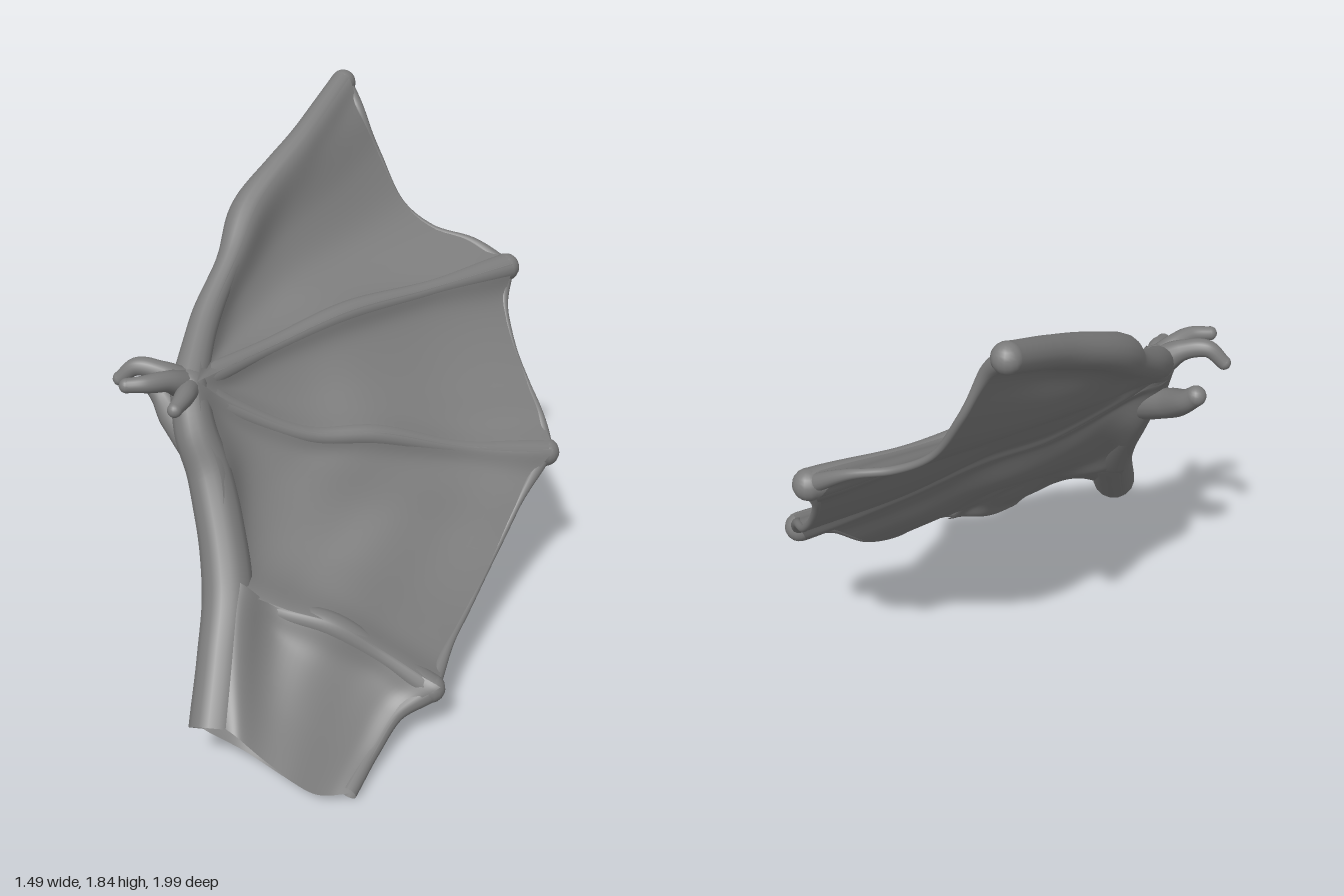
import * as THREE from 'three';

const V = (p) => new THREE.Vector3(...p);
const curve = (pts) => new THREE.CatmullRomCurve3(pts.map(V), false, 'centripetal');
const mat = new THREE.MeshStandardMaterial({ color: 0x7c7c7c, side: THREE.DoubleSide });
const NORMAL = new THREE.Vector3(1, 1, 1).normalize();
const SKIN = 0.012;

// A bone is a curve with a radius that follows evenly spaced values
function bone(pts, radii) {
  const radius = (t) => {
    const f = t * (radii.length - 1), i = Math.min(Math.floor(f), radii.length - 2);
    return THREE.MathUtils.lerp(radii[i], radii[i + 1], THREE.MathUtils.smoothstep(f - i, 0, 1));
  };
  return { curve: curve(pts), radius };
}

// Joints
const wrist = [-0.49, 1.13, 0.27], elbow = [-0.31, 0.56, 0.58], shoulder = [-0.295, 0.213, 0.895];
const tip1 = [-0.165, 1.79, -0.955], tip2 = [0.487, 1.172, -0.748];
const tip3 = [0.69, 0.66, -0.275], tip4 = [0.375, 0.21, 0.575], corner = [0.148, 0.03, 0.925];

// Bones
const upperArm = [wrist, [-0.455, 1.0, 0.34], [-0.4, 0.86, 0.39], elbow];
const lowerArm = [elbow, [-0.3, 0.38, 0.74], shoulder];
const spurPath = [elbow, [-0.16, 0.48, 0.58], [0.03, 0.43, 0.57], [0.2, 0.32, 0.56], tip4];
const arm = bone([...upperArm, ...lowerArm.slice(1)], [0.065, 0.075, 0.08, 0.086, 0.083, 0.086]);
const finger1 = bone(
  [wrist, [-0.485, 1.26, 0.02], [-0.44, 1.39, -0.2], [-0.405, 1.51, -0.37], [-0.27, 1.66, -0.66], tip1],
  [0.06, 0.052, 0.046, 0.064, 0.056, 0.05, 0.047]);
const finger2 = bone(
  [wrist, [-0.28, 1.14, -0.02], [-0.05, 1.17, -0.27], [0.2, 1.165, -0.5], tip2], [0.045, 0.034, 0.042, 0.034, 0.052]);
const finger3 = bone(
  [wrist, [-0.35, 1.02, 0.21], [-0.12, 0.89, 0.12], [0.1, 0.845, 0.01], [0.38, 0.735, -0.13], tip3],
  [0.045, 0.034, 0.042, 0.034, 0.052]);
const spur = bone(spurPath, [0.06, 0.042, 0.048, 0.038, 0.05]);
const armToSpur = bone([...upperArm, ...spurPath.slice(1)], [0.065, 0.08, 0.075, 0.045, 0.05]);

// Bones running the other way, and the open lip, around the root panel
const spurInward = bone([...spurPath].reverse(), [0.05, 0.038, 0.048, 0.042, 0.06]);
const lowerArmBone = bone(lowerArm, [0.086, 0.083, 0.086]);
const rootLip = bone([corner, [0.06, 0.055, 0.975], [-0.05, 0.125, 0.98], [-0.19, 0.195, 0.945], shoulder], [SKIN, SKIN]);

// Trailing edges
const rim = [0.03, 0.014, 0.012, 0.014, 0.03];
const edges = [
  [tip1, [-0.1, 1.71, -0.9], [-0.02, 1.54, -0.88], [0.08, 1.37, -0.83], [0.2, 1.29, -0.8], [0.35, 1.25, -0.79], tip2],
  [tip2, [0.49, 1.06, -0.68], [0.535, 0.93, -0.59], [0.6, 0.82, -0.5], [0.66, 0.75, -0.38], tip3],
  [tip3, [0.62, 0.56, -0.13], [0.54, 0.41, 0.03], [0.47, 0.31, 0.22], [0.41, 0.255, 0.42], tip4],
  [tip4, [0.265, 0.15, 0.655], [0.205, 0.085, 0.77], corner],
].map((pts, i) => bone(pts, i === 3 ? [0.045, 0.03, 0.028, 0.03] : rim));

// Tapered tube along a bone, with rounded ends where asked
function limb(name, { curve: c, radius }, caps = [false, true]) {
  const n = 48, sides = 16;
  const geo = new THREE.TubeGeometry(c, n, 1, sides, false);
  const pos = geo.attributes.position, p = new THREE.Vector3();
  for (let i = 0; i <= n; i++) {
    const o = c.getPointAt(i / n);
    for (let j = 0; j <= sides; j++) {
      const k = i * (sides + 1) + j;
      p.fromBufferAttribute(pos, k).sub(o).multiplyScalar(radius(i / n)).add(o);
      pos.setXYZ(k, p.x, p.y, p.z);
    }
  }
  const group = new THREE.Group();
  group.name = name;
  group.add(new THREE.Mesh(geo, mat));
  caps.forEach((on, e) => {
    if (!on) return;
    const ball = new THREE.Mesh(new THREE.SphereGeometry(radius(e), 16, 12), mat);
    ball.position.copy(c.getPointAt(e));
    group.add(ball);
  });
  group.children.forEach((m) => { m.name = name; });
  return group;
}

// One face of the skin between two bones; it swells softly over each bone and sags between.
// It ends on an edge, and begins on a third bone or where the first two meet.
function skin(name, a, b, edge, sag, side, start) {
  const nu = 40, nv = 40, pos = [], idx = [];
  const ends = [0, 1].map((t) => [a.curve.getPoint(t), b.curve.getPoint(t)]);
  const bend = (line, v, [p, q]) => line.curve.getPointAt(v).sub(p.clone().lerp(q, v));
  const swell = (d, r) => Math.max(r - SKIN, 0) * Math.exp(-((d / (1.4 * r)) ** 2));
  for (let i = 0; i <= nu; i++) {
    const u = i / nu, pa = a.curve.getPointAt(u), pb = b.curve.getPointAt(u);
    for (let j = 0; j <= nv; j++) {
      const v = 0.5 - 0.5 * Math.cos(Math.PI * j / nv);
      const p = pa.clone().lerp(pb, v).addScaledVector(bend(edge, v, ends[1]), u ** 1.4);
      if (start) p.addScaledVector(bend(start, v, ends[0]), (1 - u) ** 1.4);
      const bumps = [swell(p.distanceTo(pa), a.radius(u)), swell(p.distanceTo(pb), b.radius(u))];
      if (start) bumps.push(swell(p.distanceTo(start.curve.getPointAt(v)), start.radius(v)));
      const thick = SKIN + Math.hypot(...bumps);
      p.addScaledVector(NORMAL, side * thick - sag * Math.sin(Math.PI * u) * Math.sin(Math.PI * v));
      pos.push(p.x, p.y, p.z);
      if (i < nu && j < nv) {
        const k = i * (nv + 1) + j, l = k + nv + 1;
        if (side > 0) idx.push(k, k + 1, l, k + 1, l + 1, l);
        else idx.push(k, l, k + 1, k + 1, l, l + 1);
      }
    }
  }
  const geo = new THREE.BufferGeometry();
  geo.setAttribute('position', new THREE.Float32BufferAttribute(pos, 3));
  geo.setIndex(idx);
  geo.computeVertexNormals();
  const mesh = new THREE.Mesh(geo, mat);
  mesh.name = name;
  return mesh;
}

export function createModel() {
  const wing = new THREE.Group();
  wing.name = 'wing';

  // Arm, open at the shoulder, and the long finger bones
  wing.add(
    limb('arm', arm, [true, false]),
    limb('leadingFinger', finger1),
    limb('secondFinger', finger2),
    limb('thirdFinger', finger3),
    limb('elbowSpur', spur),
  );

  // Membrane, front and back faces
  for (const [label, side] of [['Front', 1], ['Back', -1]]) {
    wing.add(
      skin('upperMembrane' + label, finger1, finger2, edges[0], 0.03, side),
      skin('middleMembrane' + label, finger2, finger3, edges[1], 0.012, side),
      skin('lowerMembrane' + label, finger3, armToSpur, edges[2], 0.012, side),
      skin('rootMembrane' + label, edges[3], lowerArmBone, rootLip, 0, side, spurInward),
    );
  }

  // Rounded trailing edges
  edges.forEach((e, i) => wing.add(limb('trailingEdge' + (i + 1), e, [false, false])));

  // Short clawed digits at the wrist
  const digits = [
    [wrist, [-0.57, 1.18, 0.28], [-0.66, 1.195, 0.28], [-0.72, 1.145, 0.28]],
    [wrist, [-0.54, 1.175, 0.33], [-0.6, 1.19, 0.385], [-0.66, 1.19, 0.405]],
    [wrist, [-0.48, 1.14, 0.35], [-0.495, 1.13, 0.435]],
    [[-0.45, 0.93, 0.33], [-0.54, 0.98, 0.25], [-0.6, 1.03, 0.19], [-0.635, 1.065, 0.17]],
  ];
  digits.forEach((d, i) => {
    wing.add(limb('digit' + (i + 1), bone(d, i === 3 ? [0.065, 0.054, 0.037] : [0.055, 0.034, 0.025])));
  });

  return wing;
}
